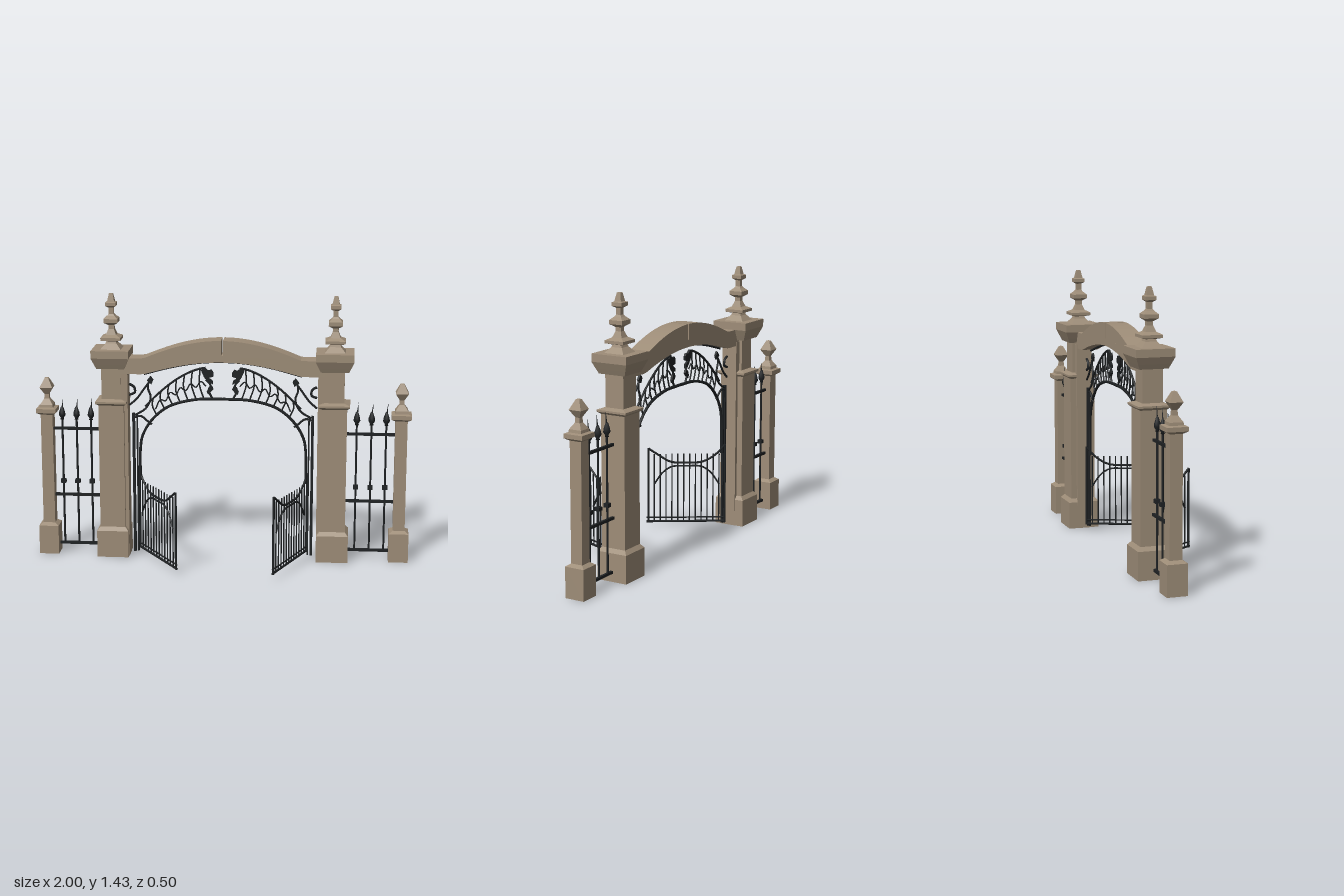
import * as THREE from 'three';

const V = (x, y, z = 0) => new THREE.Vector3(x, y, z);
const Z = -0.148; // plane of the wall

export function createModel() {
  const root = new THREE.Group();
  root.name = 'gateway';
  const stone = new THREE.MeshStandardMaterial({ color: 0x9e8d78 });
  stone.name = 'stone';
  const iron = new THREE.MeshStandardMaterial({ color: 0x1f2224 });
  iron.name = 'iron';

  const add = (parent, name, geo, mat) => {
    const m = new THREE.Mesh(geo, mat);
    m.name = name;
    parent.add(m);
    return m;
  };
  const group = (name, parent = root) => {
    const g = new THREE.Group();
    g.name = name;
    parent.add(g);
    return g;
  };
  const box = (parent, name, mat, w, h, d, x, y, z) =>
    add(parent, name, new THREE.BoxGeometry(w, h, d), mat).position.set(x, y, z);
  // square turned profile of [half width, height]
  const square = (parent, name, profile) => {
    const pts = profile.map(([r, y]) => new THREE.Vector2(r * Math.SQRT2, y));
    const g = new THREE.LatheGeometry(pts, 4).rotateY(Math.PI / 4).toNonIndexed();
    g.computeVertexNormals();
    return add(parent, name, g, stone);
  };
  const rod = (parent, name, a, b, r) => {
    const d = b.clone().sub(a);
    const m = add(parent, name, new THREE.CylinderGeometry(r, r, d.length(), 6), iron);
    m.position.copy(a).add(b).multiplyScalar(0.5);
    m.quaternion.setFromUnitVectors(V(0, 1, 0), d.normalize());
  };
  const tube = (parent, name, pts, r, n = 24) =>
    add(parent, name, new THREE.TubeGeometry(new THREE.CatmullRomCurve3(pts), n, r, 6), iron);

  // height of the lintel lines: flat shoulders rising to an arch
  const rise = (x) => Math.pow(Math.max(0, 1 - (x / 0.42) ** 2), 1.1);
  const line = (x, shoulder, crown) => shoulder + (crown - shoulder) * rise(x);

  // inner iron arch, from the springing to the crown
  const archPts = [[0.445, 0.42], [0.443, 0.6], [0.43, 0.67], [0.38, 0.755], [0.29, 0.83], [0.15, 0.87], [0, 0.876]];
  const lower = (x) => {
    for (let i = 2; i < archPts.length - 1; i++) {
      const [ax, ay] = archPts[i], [bx, by] = archPts[i + 1];
      if (x >= bx) return ay + (by - ay) * (ax - x) / (ax - bx);
    }
    return 0.876;
  };
  const upper = (x) => 1.045 - 0.18 * Math.pow(Math.max(0, (x - 0.08) / 0.3), 1.7);

  for (const s of [1, -1]) {
    const side = s > 0 ? 'left' : 'right';

    // main pillar
    const p = group(side + 'MainPillar');
    p.position.set(s * 0.592, 0, Z);
    square(p, 'pillarBody', [[0, 0], [0.085, 0], [0.085, 0.147], [0.068, 0.167], [0.068, 0.84],
      [0.083, 0.852], [0.083, 0.862], [0.052, 0.872], [0.052, 1.04], [0.074, 1.04],
      [0.085, 1.065], [0.1, 1.1], [0.1, 1.14], [0.055, 1.14]]);
    square(p, 'pillarFinial', [[0.055, 1.14], [0.03, 1.168], [0.026, 1.18], [0.053, 1.187], [0.053, 1.202],
      [0.027, 1.215], [0.015, 1.245], [0.015, 1.265], [0.037, 1.28], [0.037, 1.3], [0.02, 1.315],
      [0.013, 1.325], [0.013, 1.358], [0.028, 1.368], [0.028, 1.386], [0.019, 1.39], [0.01, 1.432], [0, 1.432]]);
    box(root, side + 'Jamb', stone, 0.05, 1.03, 0.085, s * 0.53, 0.515, -0.142);

    // outer small pillar
    const q = group(side + 'SmallPillar');
    q.position.set(s * 0.947, 0, Z);
    square(q, 'smallPillarBody', [[0, 0], [0.053, 0], [0.053, 0.158], [0.032, 0.172], [0.032, 0.775],
      [0.053, 0.788], [0.053, 0.81], [0.036, 0.815], [0.034, 0.83], [0.014, 0.86], [0.012, 0.885],
      [0.034, 0.923], [0.01, 0.972], [0, 0.975]]);

    // lintel half: three stepped bands
    const bands = [[1.1, 1.2, 1.083, 1.118, 0.108], [1.083, 1.118, 1.045, 1.095, 0.097], [1.045, 1.095, 1.01, 1.08, 0.086]];
    const lintel = group(side + 'Lintel');
    bands.forEach(([t0, t1, b0, b1, depth], k) => {
      const top = [], bot = [];
      for (let i = 0; i <= 24; i++) {
        const x = (k ? 0 : 0.005) + (0.55 - (k ? 0 : 0.005)) * i / 24;
        top.push(new THREE.Vector2(s * x, line(x, t0, t1)));
        bot.unshift(new THREE.Vector2(s * x, line(x, b0, b1)));
      }
      const g = new THREE.ExtrudeGeometry(new THREE.Shape([...top, ...bot]), { depth, bevelEnabled: false });
      add(lintel, 'lintelBand', g, stone).position.z = -0.182;
    });

    // side fence
    const f = group(side + 'Fence');
    f.position.z = Z;
    for (const y of [0.05, 0.325, 0.695]) box(f, 'fenceRail', iron, 0.28, 0.014, 0.014, s * 0.787, y, 0);
    for (const x of [0.712, 0.79, 0.868]) {
      rod(f, 'fenceBar', V(s * x, 0.05), V(s * x, 0.77), 0.006);
      box(f, 'fenceCollar', iron, 0.027, 0.02, 0.027, s * x, 0.402, 0);
      const bud = [[0, 0.742], [0.011, 0.745], [0.008, 0.752], [0.018, 0.768], [0.016, 0.785], [0.007, 0.812], [0, 0.82]];
      add(f, 'fenceSpear', new THREE.LatheGeometry(bud.map((v) => new THREE.Vector2(...v)), 8), iron).position.x = s * x;
      const spike = add(f, 'fenceSpike', new THREE.ConeGeometry(0.006, 0.08, 6), iron);
      spike.position.set(s * x + 0.004, 0.83, 0);
      spike.rotation.z = -0.1;
    }

    // fixed iron frame and arch
    const a = group(side + 'IronArch');
    a.position.z = -0.13;
    box(a, 'framePost', iron, 0.014, 0.775, 0.016, s * 0.478, 0.405, 0);
    box(a, 'frameInnerPost', iron, 0.008, 0.76, 0.012, s * 0.459, 0.4, 0);
    tube(a, 'innerArch', archPts.map(([x, y]) => V(s * x, y)), 0.008, 40);
    const under = [];
    for (let x = 0; x <= 0.42; x += 0.06) under.push(V(s * x, line(x, 1.005, 1.077)));
    tube(a, 'lintelTrim', under, 0.006);

    // scrollwork: rim, wavy middle line and curved struts
    const w = group('scrollwork', a);
    const rim = [], mid = [];
    for (let i = 0; i <= 12; i++) {
      const x = 0.09 + i * 0.027;
      rim.push(V(s * x, Math.max(upper(x), lower(x))));
      mid.push(V(s * x, (upper(x) + lower(x)) / 2 + 0.014 * (i % 2 ? 1 : -1)));
    }
    tube(w, 'scrollRim', rim, 0.006, 36);
    tube(w, 'scrollMiddle', mid.slice(0, 11), 0.004, 48);
    for (let i = 0; i < 7; i++) {
      const x = 0.1 + i * 0.042, x2 = x + 0.02;
      tube(w, 'scrollStrut', [V(s * x, lower(x)), V(s * (x + 0.025), (lower(x) + upper(x)) / 2), V(s * x2, Math.max(upper(x2), lower(x2)))], 0.0045, 10);
    }
    // beast head in profile, facing the middle
    const head = [[0.05, 1.02], [0.06, 1.035], [0.078, 1.03], [0.098, 1.048], [0.115, 1.03], [0.1, 0.995],
      [0.085, 0.975], [0.068, 0.965], [0.052, 0.955], [0.054, 0.975], [0.075, 0.99], [0.05, 0.998]];
    const plate = (name, pts) => add(w, name, new THREE.ExtrudeGeometry(
      new THREE.Shape(pts.map(([x, y]) => new THREE.Vector2(s * x, y))), { depth: 0.012, bevelEnabled: false }), iron).position.z = -0.006;
    plate('beastHead', head);
    plate('beastPaw', [[0.05, 0.93], [0.058, 0.948], [0.075, 0.94], [0.085, 0.915], [0.078, 0.9], [0.062, 0.915]]);
    tube(w, 'beastChest', [V(s * 0.09, 0.98), V(s * 0.065, 0.95), V(s * 0.07, 0.91), V(s * 0.055, 0.878)], 0.006, 14);

    // corner brackets between the arch and the pillar
    tube(w, 'cornerBrace', [V(s * 0.5, 0.835), V(s * 0.46, 0.87), V(s * 0.42, 0.925), V(s * 0.375, 0.985)], 0.006, 14);
    tube(w, 'cornerScroll', [V(s * 0.5, 0.95), V(s * 0.475, 0.935), V(s * 0.47, 0.905), V(s * 0.5, 0.89)], 0.007, 14);
    tube(w, 'cornerVine', [V(s * 0.39, 0.98), V(s * 0.4, 0.93), V(s * 0.385, 0.88), V(s * 0.41, 0.82), V(s * 0.47, 0.78)], 0.006, 18);
    tube(w, 'cornerTail', [V(s * 0.48, 0.765), V(s * 0.44, 0.775), V(s * 0.4, 0.745), V(s * 0.38, 0.73)], 0.006, 14);
    plate('cornerLeaf', [[0.405, 0.97], [0.385, 0.995], [0.37, 0.975], [0.38, 0.95]]);

    // open gate leaf, built along +x from its hinge
    const g = group(side + 'GateLeaf');
    g.position.set(s * 0.452, 0, -0.15);
    g.rotation.y = s > 0 ? -(Math.PI - Math.atan2(0.39, 0.16)) : -Math.atan2(0.35, 0.233);
    const L = 0.42;
    for (const y of [0.036, 0.058]) rod(g, 'gateBottomRail', V(0, y), V(L + 0.01, y), y < 0.05 ? 0.006 : 0.004);
    rod(g, 'gateEndPost', V(L, 0.03), V(L, 0.45), 0.007);
    rod(g, 'gateHingePost', V(0, 0.03), V(0, 0.47), 0.006);
    for (let i = 1; i <= 12; i++) rod(g, 'gateBar', V(L * i / 13, 0.036), V(L * i / 13, 0.418), 0.004);
    tube(g, 'gateTopRail', [V(0, 0.47), V(0.05, 0.415), V(0.12, 0.375), V(0.21, 0.368), V(0.3, 0.375), V(0.36, 0.41), V(L, 0.45)], 0.006);
    tube(g, 'gateLowerCurve', [V(0.03, 0.245), V(0.08, 0.315), V(0.13, 0.347), V(0.21, 0.35), V(0.29, 0.347), V(0.34, 0.315), V(0.39, 0.245)], 0.005);
  }
  return root;
}
